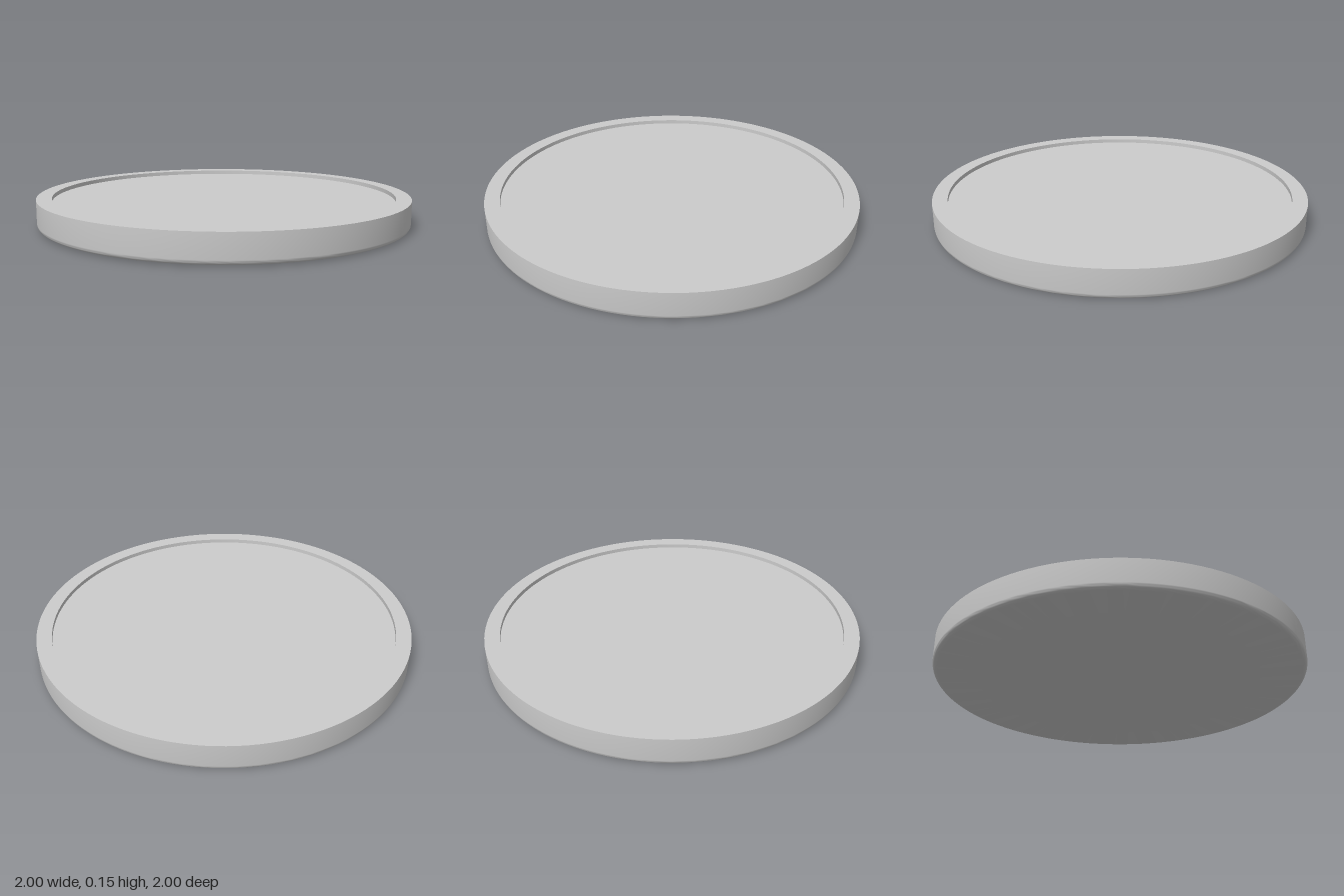
import * as THREE from 'three';
import { toCreasedNormals } from 'three/addons/utils/BufferGeometryUtils.js';

const HEIGHT = 0.147, RADIUS = 1, RECESS_RADIUS = 0.92, RECESS_DEPTH = 0.022, FILLET = 0.025;
const TILT = 0.003;

export function createModel() {
  const group = new THREE.Group();
  group.name = 'roundBase';
  const material = new THREE.MeshStandardMaterial({ color: 0xcccccc });

  // Profile: underside, rounded bottom edge, outer wall, flat rim, recessed floor
  const profile = [new THREE.Vector2(0, 0)];
  const steps = 6;
  for (let i = 0; i <= steps; i++) {
    const a = (i / steps) * Math.PI / 2;
    profile.push(new THREE.Vector2(
      RADIUS - FILLET + FILLET * Math.sin(a),
      FILLET - FILLET * Math.cos(a)));
  }
  profile.push(
    new THREE.Vector2(RADIUS, HEIGHT),
    new THREE.Vector2(RECESS_RADIUS, HEIGHT),
    new THREE.Vector2(RECESS_RADIUS, HEIGHT - RECESS_DEPTH),
    new THREE.Vector2(0, HEIGHT - RECESS_DEPTH));

  const dish = new THREE.Mesh(
    toCreasedNormals(new THREE.LatheGeometry(profile, 128), 0.6), material);
  dish.name = 'rimmedDisc';

  // Very slight lean, front edge raised
  dish.rotation.x = -TILT;
  dish.position.y = TILT * (RADIUS - FILLET);
  group.add(dish);
  return group;
}
